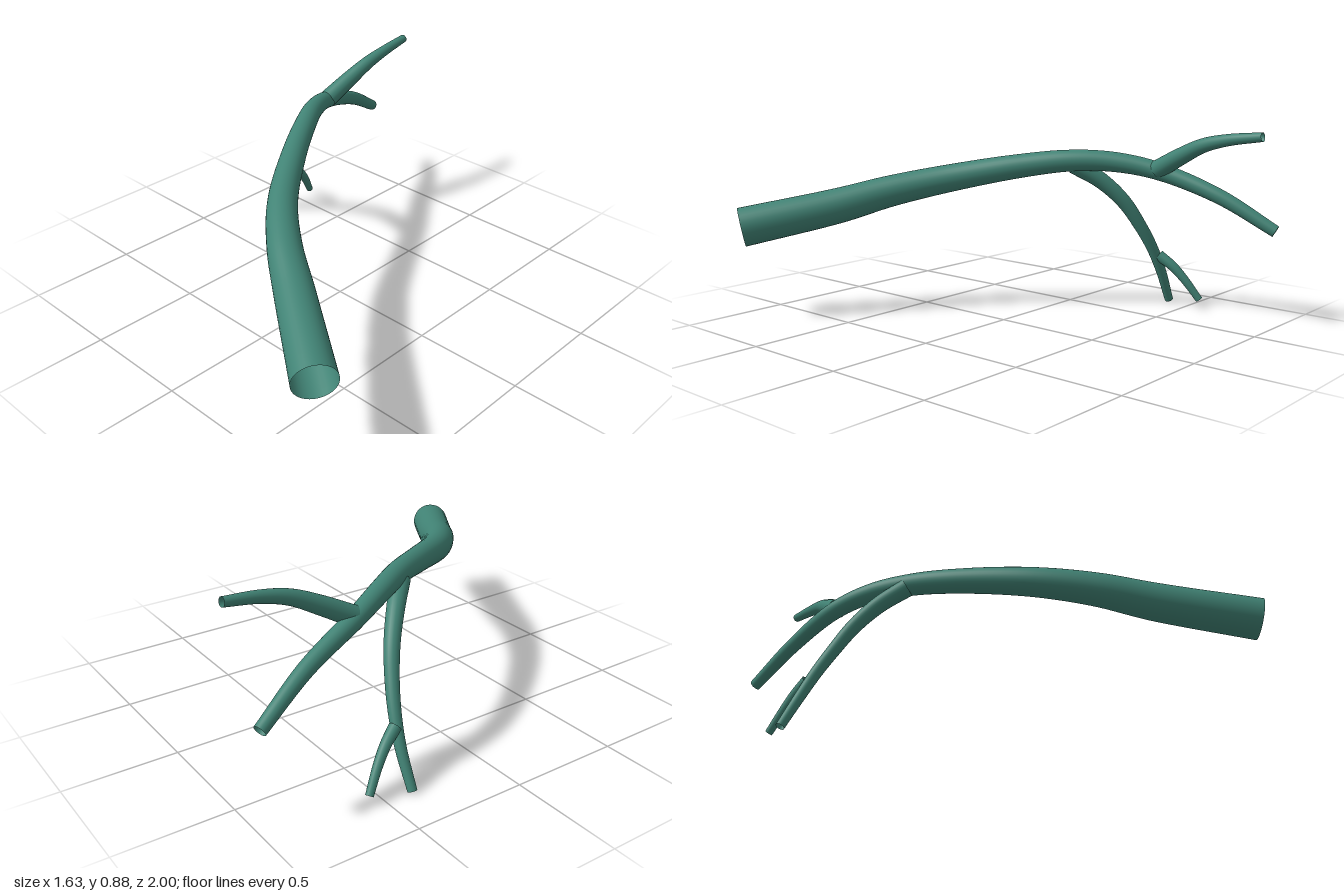
import * as THREE from 'three';

const bark = new THREE.MeshStandardMaterial({ color: 0x418375, side: THREE.DoubleSide });
bark.name = 'teal bark';

// Open tapered tube: each station is [x, y, z, radius]
function limb(name, stations, segments, sides) {
  const curve = new THREE.CatmullRomCurve3(stations.map(([x, y, z]) => new THREE.Vector3(x, y, z)));
  const n = stations.length - 1;
  const geo = new THREE.TubeGeometry(curve, segments, 1, sides, false);
  const pos = geo.attributes.position;
  const nor = geo.attributes.normal;
  const p = new THREE.Vector3();
  for (let i = 0; i <= segments; i++) {
    // radius blended between neighbouring stations
    const t = curve.getUtoTmapping(i / segments) * n;
    const k = Math.min(Math.floor(t), n - 1);
    const r = THREE.MathUtils.lerp(stations[k][3], stations[k + 1][3], t - k);
    curve.getPointAt(i / segments, p);
    for (let j = 0; j <= sides; j++) {
      const v = i * (sides + 1) + j;
      pos.setXYZ(v, p.x + nor.getX(v) * r, p.y + nor.getY(v) * r, p.z + nor.getZ(v) * r);
    }
  }
  const mesh = new THREE.Mesh(geo, bark);
  mesh.name = name;
  return mesh;
}

export function createModel() {
  const group = new THREE.Group();
  group.name = 'branch';

  // Thick stem sweeping back and over
  group.add(limb('mainStem', [
    [0.757, 0.427, 0.92, 0.09], [0.4, 0.51, 0.67, 0.082], [0.2, 0.57, 0.53, 0.073],
    [0, 0.625, 0.35, 0.065], [-0.2, 0.685, 0.09, 0.056], [-0.34, 0.716, -0.12, 0.05],
    [-0.45, 0.712, -0.29, 0.046], [-0.54, 0.675, -0.47, 0.041], [-0.62, 0.575, -0.74, 0.034],
    [-0.695, 0.435, -0.98, 0.027],
  ], 72, 32));

  // Fork rising from the back of the stem
  group.add(limb('upperBranch', [
    [-0.53, 0.685, -0.47, 0.044], [-0.51, 0.755, -0.6, 0.039], [-0.495, 0.812, -0.72, 0.032],
    [-0.492, 0.843, -0.84, 0.026], [-0.5, 0.865, -1, 0.02],
  ], 32, 24));

  // Long drooping side branch
  group.add(limb('lowerBranch', [
    [-0.36, 0.695, -0.12, 0.042], [-0.45, 0.62, -0.21, 0.038], [-0.53, 0.52, -0.285, 0.034],
    [-0.6, 0.4, -0.335, 0.03], [-0.66, 0.29, -0.365, 0.027], [-0.72, 0.17, -0.38, 0.024],
    [-0.8, 0.012, -0.38, 0.02],
  ], 40, 24));

  // Small twig off the drooping branch
  group.add(limb('twig', [
    [-0.69, 0.25, -0.385, 0.027], [-0.715, 0.2, -0.45, 0.023], [-0.74, 0.135, -0.505, 0.02],
    [-0.772, 0.045, -0.565, 0.017],
  ], 20, 20));

  return group;
}
